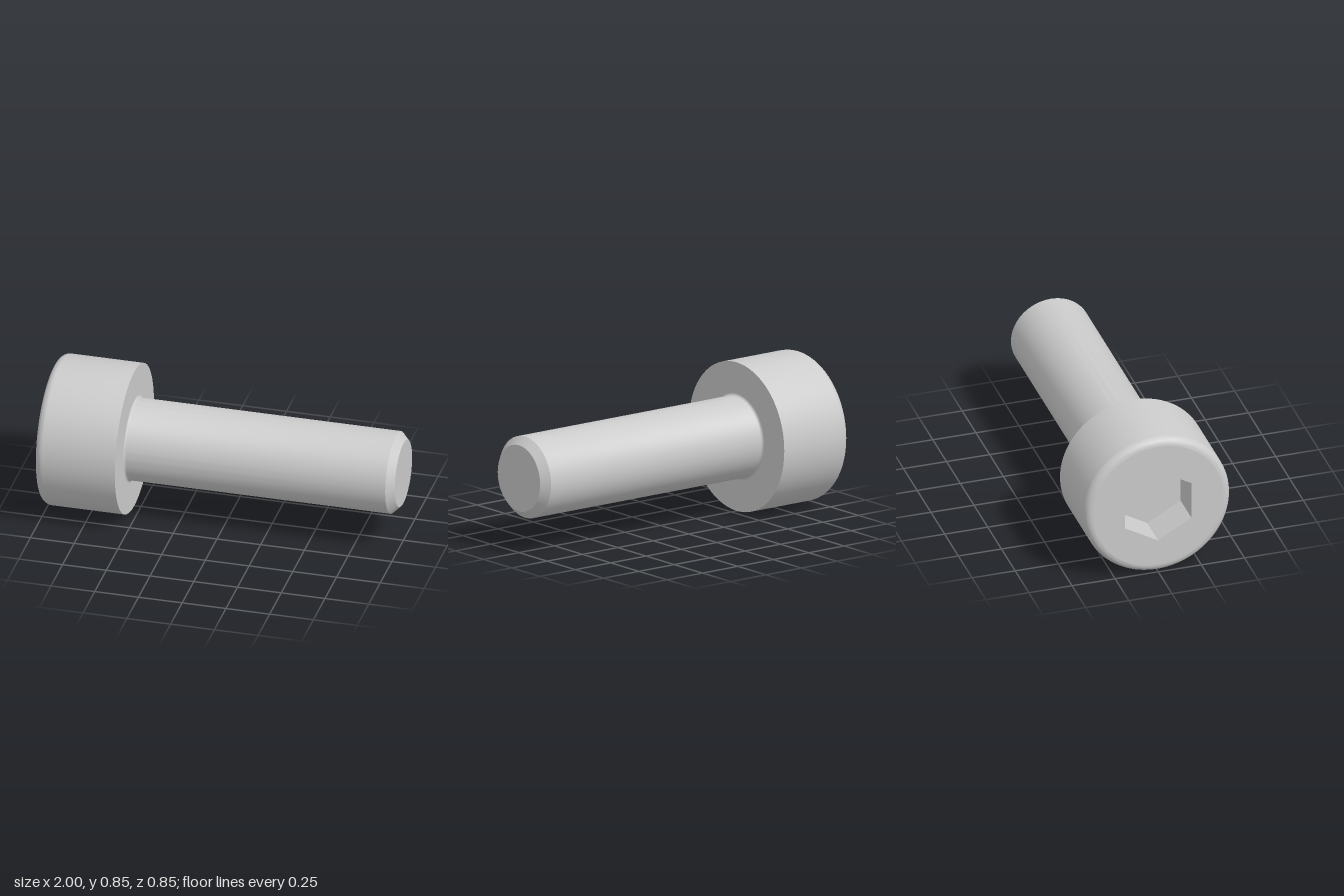
import * as THREE from 'three';
import { toCreasedNormals } from 'three/addons/utils/BufferGeometryUtils.js';

const SEGMENTS = 64;
const HEAD_R = 0.423, SHANK_R = 0.231, SOCKET_R = 0.222;
const HEAD_X = -1, COLLAR_X = -0.538, TIP_X = 1;
const ROUND = 0.046, FILLET = 0.015, CHAMFER = 0.043, SOCKET_DEPTH = 0.2;

const material = new THREE.MeshStandardMaterial({ color: 0xcccccc });

// Quarter arc of [radius, axial] points
function arc(r, a, size, from, to, steps = 8) {
  return Array.from({ length: steps + 1 }, (_, i) => {
    const t = from + (to - from) * i / steps;
    return [r + size * Math.cos(t), a + size * Math.sin(t)];
  });
}

// Revolve a [radius, axial] profile about the x axis
function turned(name, profile, segments = SEGMENTS, crease = Math.PI / 6) {
  const points = profile.map(([r, a]) => new THREE.Vector2(r, a));
  const lathe = new THREE.LatheGeometry(points, segments, Math.PI / 2);
  lathe.rotateZ(-Math.PI / 2);
  const mesh = new THREE.Mesh(toCreasedNormals(lathe, crease), material);
  mesh.name = name;
  return mesh;
}

function ringPoints(radius, count) {
  return Array.from({ length: count }, (_, i) => {
    const t = Math.PI / 2 + i / count * Math.PI * 2;
    return new THREE.Vector2(radius * Math.cos(t), radius * Math.sin(t));
  });
}

export function createModel() {
  const screw = new THREE.Group();
  screw.name = 'socketHeadScrew';

  // Head side with rounded outer rim, and the flat underside
  screw.add(turned('head', [
    ...arc(HEAD_R - ROUND, HEAD_X + ROUND, ROUND, -Math.PI / 2, 0),
    [HEAD_R, COLLAR_X],
    [SHANK_R + FILLET, COLLAR_X],
  ]));

  // Shank with a small fillet under the head and a chamfered tip
  screw.add(turned('shank', [
    ...arc(SHANK_R + FILLET, COLLAR_X + FILLET, FILLET, Math.PI * 1.5, Math.PI, 6),
    [SHANK_R, TIP_X - CHAMFER],
    [SHANK_R - CHAMFER, TIP_X],
    [0, TIP_X],
  ]));

  // Flat head face with the hexagonal opening
  const face = new THREE.Shape(ringPoints(HEAD_R - ROUND, SEGMENTS));
  face.holes.push(new THREE.Path(ringPoints(SOCKET_R, 6)));
  const faceGeometry = new THREE.ShapeGeometry(face);
  faceGeometry.rotateY(-Math.PI / 2).translate(HEAD_X, 0, 0);
  const headFace = new THREE.Mesh(faceGeometry, material);
  headFace.name = 'headFace';
  screw.add(headFace);

  // Hex socket: floor and inward-facing walls
  screw.add(turned('hexSocket', [
    [0, HEAD_X + SOCKET_DEPTH],
    [SOCKET_R, HEAD_X + SOCKET_DEPTH],
    [SOCKET_R, HEAD_X],
  ], 6));

  screw.position.y = HEAD_R;
  const model = new THREE.Group();
  model.add(screw);
  return model;
}
